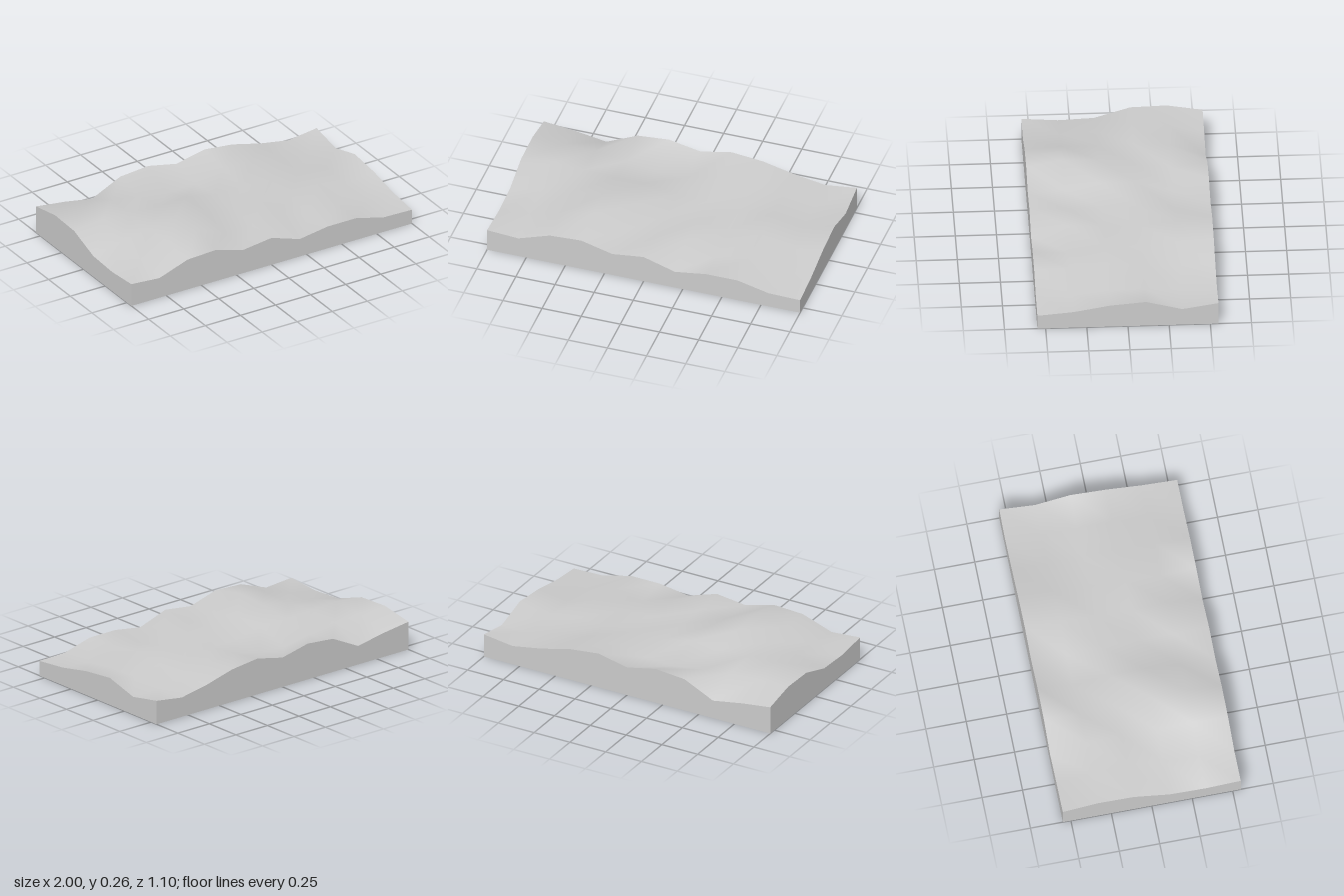
import * as THREE from 'three';

const COLS = 10, ROWS = 5, HALF_X = 1, HALF_Z = 0.55;

// Terrain heights: one row per z step from back to front, x from -1 to +1
const HEIGHTS = [
  [0.18, 0.155, 0.12, 0.215, 0.232, 0.19, 0.232, 0.21, 0.16, 0.125, 0.152],
  [0.22, 0.215, 0.21, 0.18, 0.15, 0.155, 0.205, 0.195, 0.155, 0.12, 0.115],
  [0.213, 0.235, 0.225, 0.215, 0.22, 0.18, 0.18, 0.165, 0.17, 0.135, 0.175],
  [0.142, 0.185, 0.215, 0.25, 0.22, 0.18, 0.18, 0.17, 0.188, 0.125, 0.155],
  [0.132, 0.165, 0.22, 0.26, 0.175, 0.175, 0.193, 0.13, 0.16, 0.105, 0.115],
  [0.15, 0.135, 0.205, 0.215, 0.16, 0.185, 0.12, 0.15, 0.15, 0.1, 0.095],
];

const material = new THREE.MeshStandardMaterial({ color: 0xcccccc });

function addPart(group, name, geometry) {
  const mesh = new THREE.Mesh(geometry, material);
  mesh.name = name;
  group.add(mesh);
  return mesh;
}

// Flat wall standing on the ground, its top edge following the given heights
function wallGeometry(heights, halfWidth) {
  const shape = new THREE.Shape();
  shape.moveTo(-halfWidth, 0);
  shape.lineTo(halfWidth, 0);
  for (let i = heights.length - 1; i >= 0; i--) {
    shape.lineTo(-halfWidth + (2 * halfWidth * i) / (heights.length - 1), heights[i]);
  }
  shape.closePath();
  return new THREE.ShapeGeometry(shape);
}

export function createModel() {
  const model = new THREE.Group();
  model.name = 'terrainBlock';

  // Rolling surface: a grid lifted to the heights, with smooth normals
  const surface = new THREE.PlaneGeometry(2 * HALF_X, 2 * HALF_Z, COLS, ROWS);
  surface.rotateX(-Math.PI / 2);
  const position = surface.attributes.position;
  for (let i = 0; i < position.count; i++) {
    position.setY(i, HEIGHTS[Math.floor(i / (COLS + 1))][i % (COLS + 1)]);
  }
  surface.computeVertexNormals();
  addPart(model, 'terrainSurface', surface);

  // Four side walls, each profile read left to right as seen from outside
  const leftEdge = HEIGHTS.map((row) => row[COLS]);
  const rightEdge = HEIGHTS.map((row) => row[0]);
  const walls = [
    ['frontWall', HEIGHTS[ROWS], HALF_X, HALF_Z, 0],
    ['leftWall', leftEdge.slice().reverse(), HALF_Z, HALF_X, Math.PI / 2],
    ['backWall', HEIGHTS[0].slice().reverse(), HALF_X, HALF_Z, Math.PI],
    ['rightWall', rightEdge, HALF_Z, HALF_X, -Math.PI / 2],
  ];
  for (const [name, heights, halfWidth, distance, turn] of walls) {
    const geometry = wallGeometry(heights, halfWidth);
    geometry.translate(0, 0, distance);
    addPart(model, name, geometry).rotation.y = turn;
  }

  // Flat underside
  const base = new THREE.PlaneGeometry(2 * HALF_X, 2 * HALF_Z);
  base.rotateX(Math.PI / 2);
  addPart(model, 'base', base);

  return model;
}
